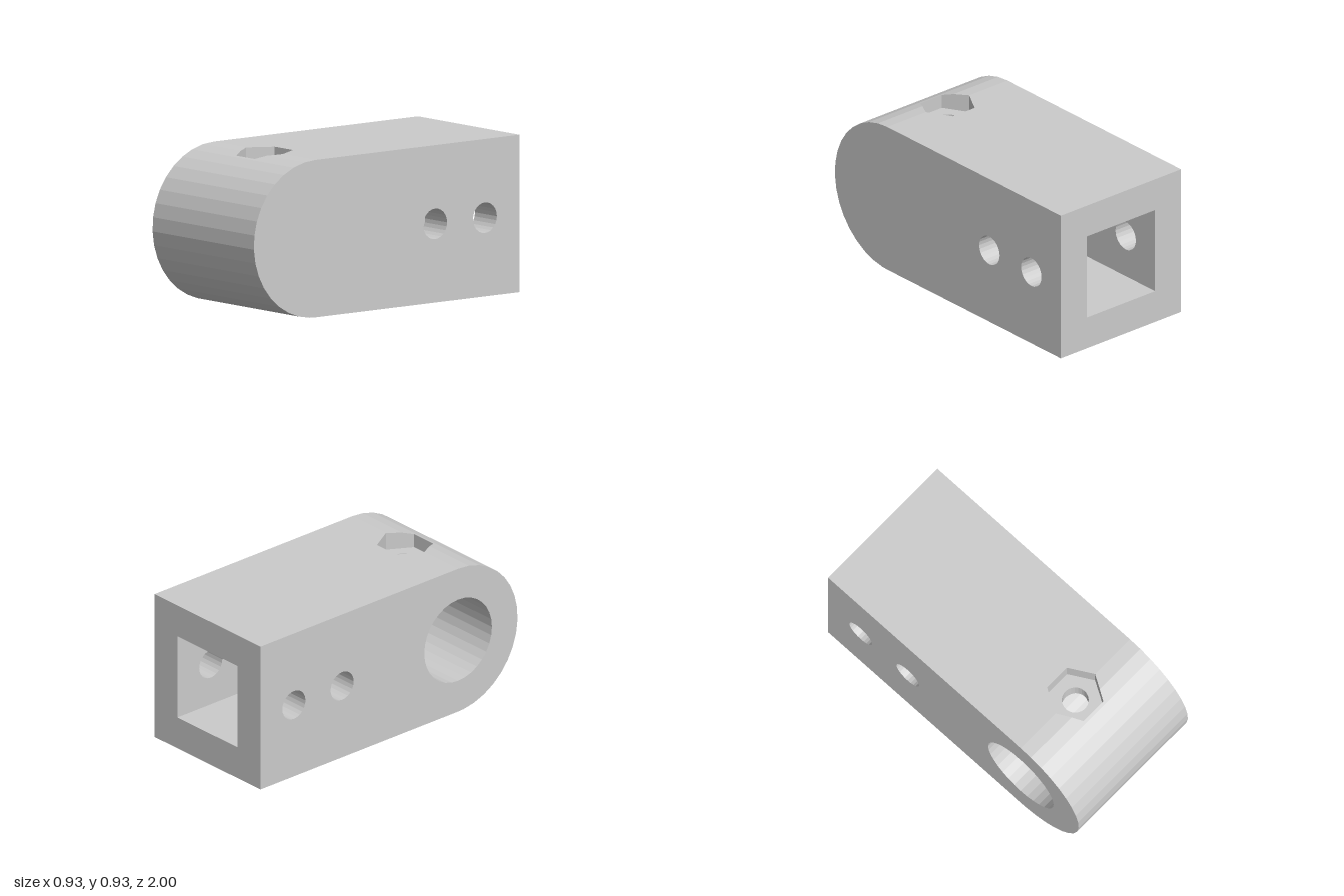
import * as THREE from 'three';

const R = 0.4625;            // half width, half height and nose radius
const CZ = 0.5375;           // centre of nose, bore and bolt
const P = 0.263;             // pocket half width and bore radius
const POCKET_END = 0;        // inner end of the square pocket
const HEX_FLOOR = 0.817;
const PIN_Z = [-0.365, -0.74], PIN_R = 0.09;

const material = new THREE.MeshStandardMaterial({ color: 0xcccccc, flatShading: true, side: THREE.DoubleSide });

// Chains are lists of [z, value] with rising z
const arc = (r, a0, step, n) => Array.from({ length: n + 1 }, (_, i) => {
  const a = THREE.MathUtils.degToRad(a0 + step * i);
  return [CZ + r * Math.cos(a), r * Math.sin(a)];
});
const raise = (chain) => chain.map(([z, y]) => [z, y + R]);

function at(chain, z) {
  if (z < chain[0][0] || z > chain[chain.length - 1][0]) return 0;
  for (let i = 1; i < chain.length; i++) {
    const [z0, v0] = chain[i - 1], [z1, v1] = chain[i];
    if (z <= z1) return z1 - z0 < 1e-9 ? v1 : v0 + (v1 - v0) * (z - z0) / (z1 - z0);
  }
  return 0;
}

const breaks = (...chains) => [...new Set(chains.flat().map((p) => +p[0].toFixed(6)))].sort((a, b) => a - b);

// Outer outline and bore, each split into an upper and a lower chain
const STEP = 360 / 35;
const nose = arc(R, 90, -STEP, 17);
nose.push([CZ, -R]);
const outerTop = raise([[-1, R], ...nose.slice(0, 10)]);
const outerBottom = raise([...nose.slice(9), [-1, -R]].reverse());
const boreTop = raise(arc(P, 180, -180 / 16, 16));
const boreBottom = raise(arc(P, 180, 180 / 16, 16));

// Half widths of the bolt hole and the hexagonal recess along z
const bolt = arc(0.078, 180, -15, 12).map(([z, x]) => [z, Math.max(x, 0)]);
const A = 0.145, S = A / Math.sqrt(3);
const hex = [[CZ - A, S], [CZ, 2 * S], [CZ + A, S]];

function quads(list) {
  const pos = [];
  for (const [a, b, c, d] of list) pos.push(...a, ...b, ...c, ...a, ...c, ...d);
  const g = new THREE.BufferGeometry();
  g.setAttribute('position', new THREE.Float32BufferAttribute(pos, 3));
  g.computeVertexNormals();
  return g;
}

// Skin following a chain from x0 to x1, leaving a hole in the middle
function skin(chain, hole, x0, x1, up) {
  const zs = breaks(chain, hole).filter((z) => z >= chain[0][0] - 1e-5 && z <= chain[chain.length - 1][0] + 1e-5);
  const list = [], e = 1e-6;
  const inRange = (z) => THREE.MathUtils.clamp(z, chain[0][0], chain[chain.length - 1][0]);
  for (let i = 1; i < zs.length; i++) {
    const za = zs[i - 1], zb = zs[i];
    const ya = at(chain, inRange(za)), yb = at(chain, inRange(zb));
    const ha = at(hole, za + 2 * e), hb = at(hole, zb - 2 * e);
    const strips = ha + hb > 1e-4 ? [[x0, x0, -ha, -hb], [ha, hb, x1, x1]] : [[x0, x0, x1, x1]];
    for (const [la, lb, ra, rb] of strips) {
      const q = [[la, ya, za], [lb, yb, zb], [rb, yb, zb], [ra, ya, za]];
      list.push(up ? q : q.reverse());
    }
  }
  return quads(list);
}

// Inward walls of a vertical hole between two heights
function holeWall(hole, low, high, edges) {
  const first = hole[0][0], last = hole[hole.length - 1][0];
  const zs = breaks(hole, edges).filter((z) => z > first + 1e-4 && z < last - 1e-4);
  const side = [first, ...zs, last].map((z) => [at(hole, z), z]);
  const ring = [...side, ...side.map(([x, z]) => [-x, z]).reverse()];
  return quads(ring.map(([x, z], i) => {
    const [u, w] = ring[(i + 1) % ring.length];
    return [[x, low(z), z], [u, low(w), w], [u, high(w), w], [x, high(z), z]];
  }));
}

const shape = (points, holes = []) => {
  const v = (list) => list.map(([a, b]) => new THREE.Vector2(a, b));
  const s = new THREE.Shape(v(points));
  s.holes = holes.map((h) => new THREE.Path(v(h)));
  return new THREE.ShapeGeometry(s);
};
const rect = (a0, a1, b0, b1) => [[a0, b0], [a1, b0], [a1, b1], [a0, b1]];
const ring = (cu, cv, r, n) => Array.from({ length: n }, (_, i) =>
  [cu + r * Math.cos(i / n * 2 * Math.PI), cv + r * Math.sin(i / n * 2 * Math.PI)]);

// Flat panel of [z, y] outlines at a given x, facing +x or -x
function sidePanel(x, dir, outline, holes) {
  const turn = (list) => list.map(([z, y]) => [-dir * z, y]);
  return shape(turn(outline), holes.map(turn)).rotateY(dir * Math.PI / 2).translate(x, 0, 0);
}

export function createModel() {
  const group = new THREE.Group();
  const add = (name, geometry) => {
    const mesh = new THREE.Mesh(geometry, material);
    mesh.name = name;
    group.add(mesh);
  };

  const outline = [[-1, 0], [-1, 2 * R], ...raise(nose)];
  const pins = PIN_Z.map((z) => ring(z, R, PIN_R, 24));
  const boreRing = ring(CZ, R, P, 32);

  // Outer shell
  add('topSkin', skin(outerTop, hex, -R, R, true));
  add('bottomSkin', skin(outerBottom, bolt, -R, R, false));
  add('leftFace', sidePanel(R, 1, outline, pins));
  add('rightFace', sidePanel(-R, -1, outline, [...pins, boreRing]));
  add('backFace', shape(rect(-R, R, 0, 2 * R), [rect(-P, P, R - P, R + P)]).rotateY(Math.PI).translate(0, 0, -1));

  // Blind bore, open on the right face
  add('boreRoof', skin(boreTop, bolt, -R, P, false));
  add('boreBed', skin(boreBottom, bolt, -R, P, true));
  add('boreEnd', sidePanel(P, -1, boreRing, []));

  // Square pocket, open at the back
  const lo = R - P, hi = R + P, e = POCKET_END;
  for (const s of [-1, 1]) add('pocketSide', sidePanel(s * P, -s, rect(-1, e, lo, hi), pins));
  add('pocketLining', quads([
    [[-P, lo, -1], [-P, lo, e], [P, lo, e], [P, lo, -1]],
    [[P, hi, -1], [P, hi, e], [-P, hi, e], [-P, hi, -1]],
    [[P, lo, e], [-P, lo, e], [-P, hi, e], [P, hi, e]],
  ]));

  // Cross pin holes through both pocket walls
  for (const z of PIN_Z) for (const s of [-1, 1]) {
    const tube = new THREE.CylinderGeometry(PIN_R, PIN_R, R - P, 24, 1, true);
    add('pinHole', tube.rotateZ(Math.PI / 2).translate(s * (R + P) / 2, R, z));
  }

  // Hexagonal nut recess and vertical bolt hole
  const floor = () => HEX_FLOOR;
  add('nutRecessWall', holeWall(hex, floor, (z) => at(outerTop, z), outerTop));
  const hexRing = [[S, A], [2 * S, 0], [S, -A], [-S, -A], [-2 * S, 0], [-S, A]];
  add('nutRecessFloor', shape(hexRing, [ring(0, 0, 0.078, 24)]).rotateX(-Math.PI / 2).translate(0, HEX_FLOOR, CZ));
  add('upperBoltHole', holeWall(bolt, (z) => at(boreTop, z), floor, boreTop));
  add('lowerBoltHole', holeWall(bolt, (z) => at(outerBottom, z), (z) => at(boreBottom, z), [...boreBottom, ...outerBottom]));
  return group;
}
